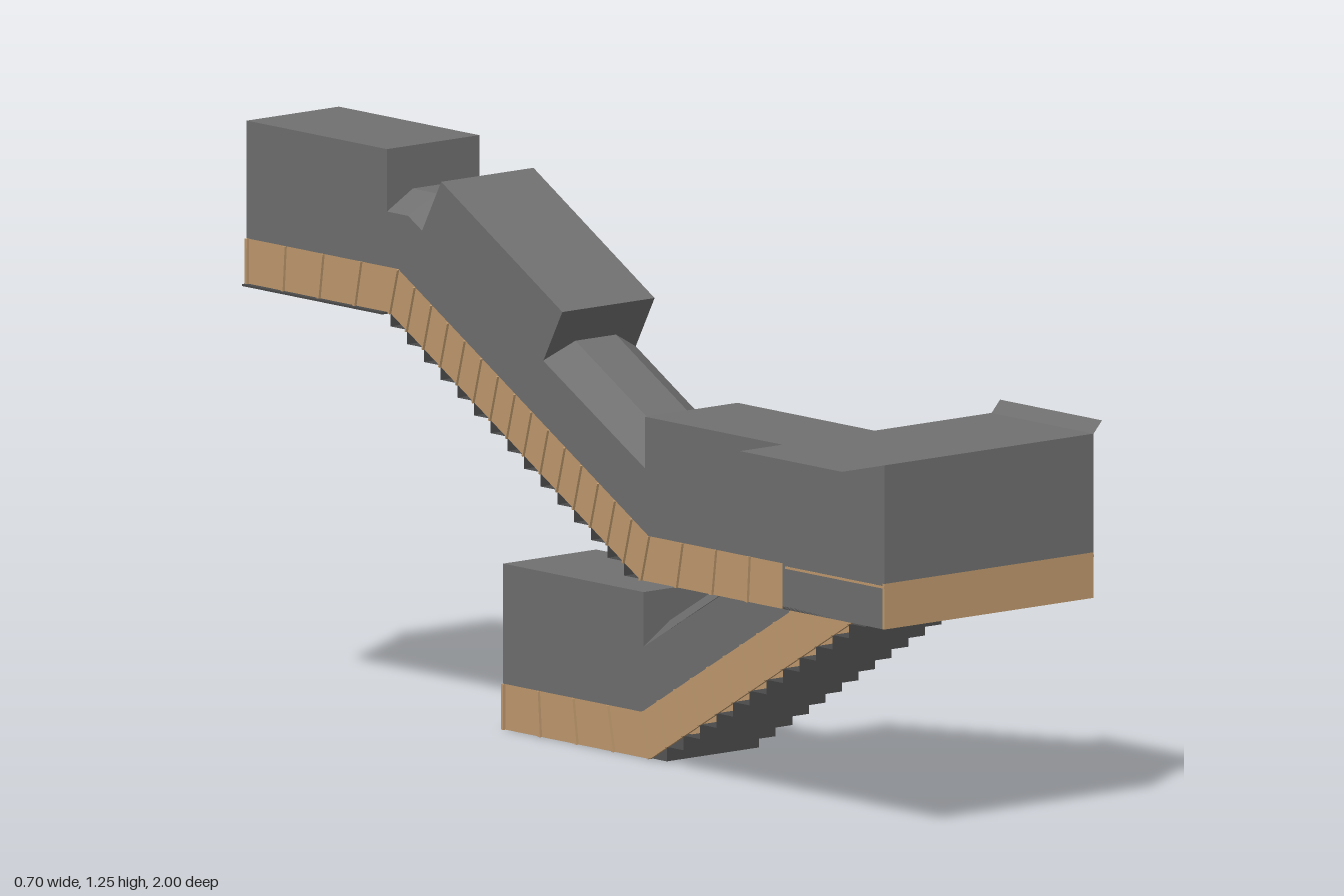
import * as THREE from 'three';

const mat = (name, color) => {
  const m = new THREE.MeshStandardMaterial({ color, side: THREE.DoubleSide });
  m.name = name;
  return m;
};

export function createModel() {
  const grey = mat('grey cladding', 0x707070);
  const wood = mat('tan panelling', 0xc09a6e);
  const dark = mat('dark flooring', 0x4a4a4a);
  const model = new THREE.Group();
  model.name = 'coveredStairway';
  const T = 0.006; // wall thickness

  const add = (parent, name, geo, material) => {
    const m = new THREE.Mesh(geo, material);
    m.name = name;
    parent.add(m);
    return m;
  };

  // Side profile given as [z, y] points, extruded from x0 to x1
  const profile = (pts, x0, x1) => {
    const shape = new THREE.Shape(pts.map(p => new THREE.Vector2(p[0], p[1])));
    const g = new THREE.ExtrudeGeometry(shape, { depth: x1 - x0, bevelEnabled: false });
    return g.rotateY(-Math.PI / 2).translate(x1, 0, 0);
  };

  // Flat-faced skin through matching cross-sections of [x, y, z] points
  const loft = sections => {
    const v = [];
    for (let i = 0; i + 1 < sections.length; i++) {
      const a = sections[i], b = sections[i + 1];
      for (let j = 0; j + 1 < a.length; j++)
        v.push(...a[j], ...b[j], ...a[j + 1], ...a[j + 1], ...b[j], ...b[j + 1]);
    }
    const g = new THREE.BufferGeometry();
    g.setAttribute('position', new THREE.Float32BufferAttribute(v, 3));
    g.computeVertexNormals();
    return g;
  };

  const box = (x0, x1, y0, y1, z0, z1) =>
    new THREE.BoxGeometry(x1 - x0, y1 - y0, z1 - z0)
      .translate((x0 + x1) / 2, (y0 + y1) / 2, (z0 + z1) / 2);

  // Hood end with an arched opening, standing between [z, y] points low and high
  const hoodEnd = (low, high, x0, x1) => {
    const f = 0.04 / Math.hypot(high[0] - low[0], high[1] - low[1]);
    const s = new THREE.Shape([[x0, 0], [x0 + 0.07, f], [x1 - 0.07, f], [x1, 0], [x1, 1], [x0, 1]]
      .map(p => new THREE.Vector2(...p)));
    const g = new THREE.ShapeGeometry(s), p = g.attributes.position;
    for (let i = 0; i < p.count; i++) {
      const t = p.getY(i);
      p.setXYZ(i, p.getX(i), low[1] + t * (high[1] - low[1]), low[0] + t * (high[0] - low[0]));
    }
    g.computeVertexNormals();
    return g;
  };

  // One enclosed flight: base, band and eaves are [z, y] paths along the run
  const flight = (name, x0, x1, { base, band, eaves, outline, roofs, ends }) => {
    const run = new THREE.Group();
    run.name = name;
    model.add(run);
    const sides = [[x0, x0 + T, -1], [x1 - T, x1, 1]];
    const along = (path, t) => {
      const i = Math.min(Math.floor(t), path.length - 2), k = t - i;
      return [0, 1].map(c => path[i][c] + k * (path[i + 1][c] - path[i][c]));
    };
    for (const [a, b, dir] of sides) {
      add(run, 'sideCladding', profile([...outline, ...[...band].reverse()], a, b), grey);
      add(run, 'lowerPanelling', profile([...base, ...[...band].reverse()], a, b), wood);
      // Thin battens between the panels
      const x = dir < 0 ? a - T : b;
      for (let i = 0; i + 1 < base.length; i++) {
        const n = i === 1 ? 15 : 4;
        for (let k = 0; k < n; k++) {
          const t = i + k / n, d = 0.06 / n;
          add(run, 'panelBatten', profile(
            [along(base, t), along(base, t + d), along(band, t + d), along(band, t)], x, x + T), wood);
        }
      }
    }
    // Roofs of the raised hoods
    for (const path of roofs)
      add(run, 'hoodRoof', loft(path.map(([z, y]) => [[x0, y, z], [x1, y, z]])), grey);
    for (const [low, high] of ends) add(run, 'hoodEnd', hoodEnd(low, high, x0, x1), grey);
    // Chamfered ceiling
    add(run, 'tunnelCeiling', loft(eaves.map(([z, y], i) => {
      const top = y + 0.04;
      const zt = z + (i === 1 || i === 2 ? Math.sign(base[1][1] - base[2][1]) * 0.011 : 0);
      return [[x0, y, z], [x0 + 0.07, top, zt], [x1 - 0.07, top, zt], [x1, y, z]];
    })), grey);
    // Floor and stepped stairs as one zigzag slab
    const [s, e] = [base[1], base[2]], steps = [base[0]], n = 15;
    for (let k = 0; k < n; k++) {
      const y = s[1] + (e[1] - s[1]) * k / n, y2 = s[1] + (e[1] - s[1]) * (k + 1) / n;
      const z = s[0] + (e[0] - s[0]) * k / n, z2 = s[0] + (e[0] - s[0]) * (k + 1) / n;
      if (e[1] > s[1]) steps.push([z, y], [z2, y]);
      else steps.push([z, y], [z, y2]);
      if (k === n - 1) steps.push([z2, y2]);
    }
    steps.push(base[3]);
    add(run, 'stairsAndFloor',
      loft(steps.map(([z, y]) => [[x0 + 0.001, y + 0.002, z], [x1 - 0.001, y + 0.002, z]])), dark);
    return run;
  };

  // Upper flight, climbing away from the landing
  const upper = flight('upperFlight', -0.24, 0.01, {
    base: [[-1, 0.905], [-0.55, 0.905], [0.235, 0.455], [0.68, 0.455]],
    band: [[-1, 1], [-0.525, 1], [0.26, 0.55], [0.68, 0.55]],
    eaves: [[-1, 1.115], [-0.494, 1.115], [0.291, 0.665], [0.68, 0.665]],
    outline: [[-1, 1.245], [-0.56, 1.245], [-0.56, 1.115], [-0.494, 1.115], [-0.45, 1.09],
      [-0.39, 1.2], [-0.01, 0.98], [-0.07, 0.87], [0.25, 0.689], [0.25, 0.797], [0.68, 0.797]],
    roofs: [[[-1, 1.245], [-0.56, 1.245]], [[-0.39, 1.2], [-0.01, 0.98]], [[0.25, 0.797], [0.68, 0.797]]],
    ends: [[[-1, 1.115], [-1, 1.245]], [[-0.56, 1.115], [-0.56, 1.245]], [[-0.45, 1.09], [-0.39, 1.2]],
      [[-0.07, 0.87], [-0.01, 0.98]], [[0.25, 0.689], [0.25, 0.797]]],
  });
  add(upper, 'topFloorPlate', box(-0.253, 0.022, 0.902, 0.906, -1, -0.56), dark);

  // Lower flight, descending from the landing
  flight('lowerFlight', 0.075, 0.327, {
    base: [[-0.56, 0], [-0.1, 0], [0.68, 0.455], [0.69, 0.455]],
    band: [[-0.56, 0.095], [-0.125, 0.095], [0.655, 0.55], [0.685, 0.55]],
    eaves: [[-0.56, 0.21], [-0.156, 0.21], [0.624, 0.665], [0.68, 0.665]],
    outline: [[-0.56, 0.345], [-0.12, 0.345], [-0.12, 0.231], [0.2, 0.416], [0.14, 0.53], [0.68, 0.797]],
    roofs: [[[-0.56, 0.345], [-0.12, 0.345]], [[0.14, 0.53], [0.68, 0.797]]],
    ends: [[[-0.56, 0.21], [-0.56, 0.345]], [[-0.12, 0.231], [-0.12, 0.345]], [[0.2, 0.416], [0.14, 0.53]]],
  });

  // Landing joining both flights
  const landing = new THREE.Group();
  landing.name = 'landing';
  model.add(landing);
  const L = -0.24, R = 0.327;
  add(landing, 'landingFloor', box(L, R, 0.455, 0.461, 0.68, 1 - T), dark);
  add(landing, 'landingRoof', box(L, R, 0.791, 0.797, 0.68, 1), grey);
  add(landing, 'frontCladding', box(L, R, 0.55, 0.791, 1 - T, 1), grey);
  add(landing, 'frontPanelling', box(L, R, 0.455, 0.55, 1 - T, 1), wood);
  add(landing, 'backWall', box(0.01, 0.075, 0.455, 0.797, 0.68, 0.686), grey);
  for (const [a, b, out] of [[L, L + T, L - 0.001], [R - T, R, R]]) {
    add(landing, 'landingSide', box(a, b, 0.455, 0.791, 0.68, 1 - T), grey);
    add(landing, 'sideTrimLine', box(out, out + 0.001, 0.54, 0.545, 0.69, 1), wood);
  }
  // Roof flaps: one level, one tipped up
  const flap = (xa, ya, xb, yb) => loft([0.68, 1].map(z => [[xa, ya, z], [xb, yb, z]]));
  add(landing, 'levelRoofFlap', flap(L, 0.797, -0.355, 0.797), grey);
  add(landing, 'raisedRoofFlap', flap(R, 0.797, 0.35, 0.822), grey);

  return model;
}
